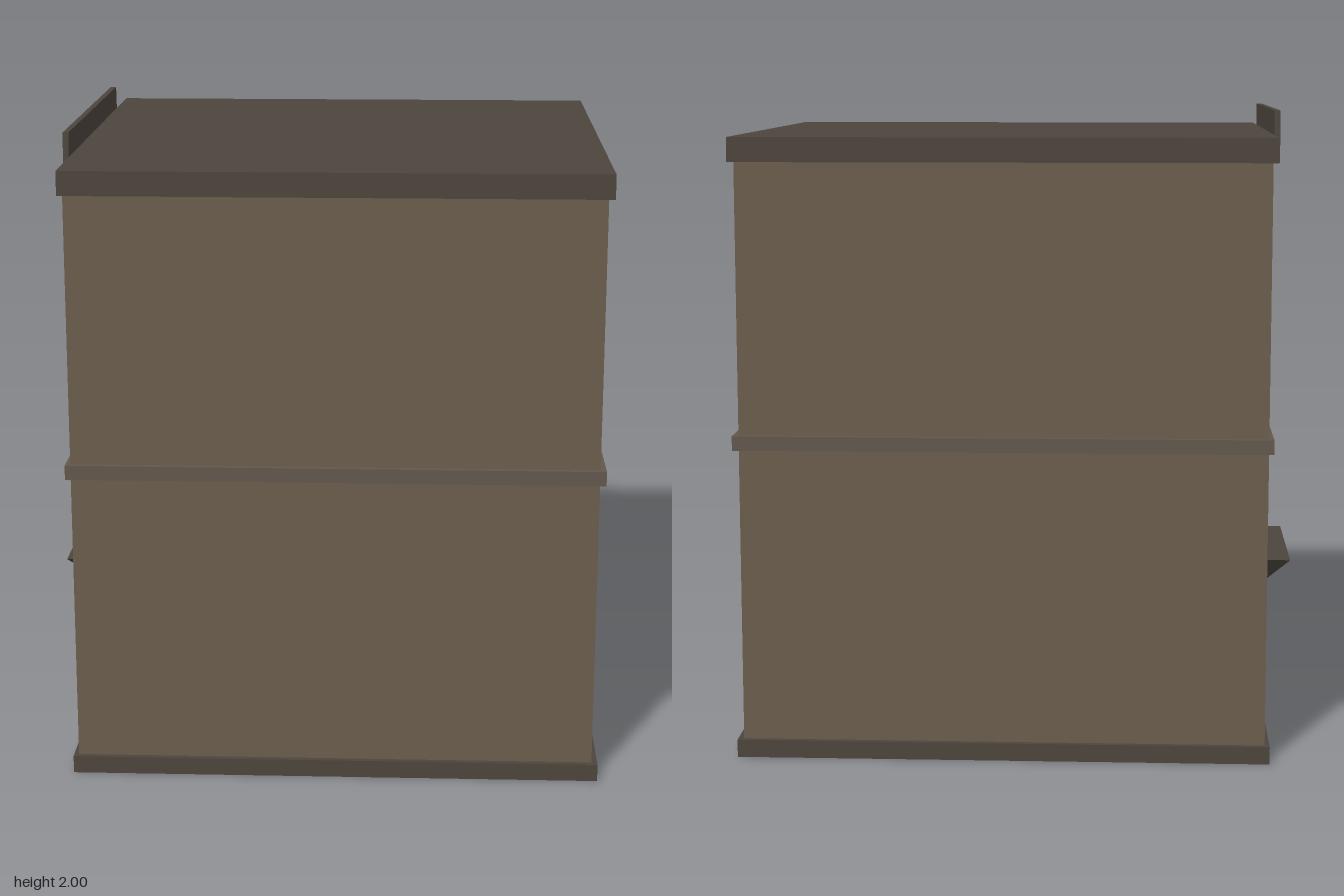
import * as THREE from 'three';

const mat = (color) => new THREE.MeshStandardMaterial({ color, flatShading: true });

export function createModel() {
  const group = new THREE.Group();
  const wall = mat(0x6b5e4d), trim = mat(0x4d453d), band = mat(0x62574d);
  const glass = mat(0x242424), doorMat = mat(0x232626), knobMat = mat(0x111111);

  const add = (name, geometry, material) => {
    const mesh = new THREE.Mesh(geometry, material);
    mesh.name = name;
    group.add(mesh);
    return mesh;
  };
  // Box given by its limits on each axis
  const box = (name, x0, x1, y0, y1, z0, z1, material) => {
    const g = new THREE.BoxGeometry(x1 - x0, y1 - y0, z1 - z0);
    g.translate((x0 + x1) / 2, (y0 + y1) / 2, (z0 + z1) / 2);
    return add(name, g, material);
  };
  // Outline in (z, y), extruded outwards towards -x from the plane x = x0
  const facadePart = (name, shape, x0, depth, material) => {
    const g = new THREE.ExtrudeGeometry(shape, { depth, bevelEnabled: false });
    g.rotateY(-Math.PI / 2);
    g.translate(x0, 0, 0);
    return add(name, g, material);
  };
  const outline = (pts) => new THREE.Shape(pts.map(([a, b]) => new THREE.Vector2(a, b)));

  const back = -0.75, face = -0.77, lip = -0.785, W = 0.81, T = 0.828;
  const doorHalf = 0.165, doorTop = 0.43;

  // Main block behind the street wall
  box('building', back, 0.852, 0.03, 1.88, -W, W, wall);

  // Street wall with window and door openings
  const windows = [
    [-0.65, -0.165, 1.19, 1.68], [0.165, 0.65, 1.19, 1.68],
    [-0.65, -0.33, 0.595, 0.88], [-0.16, 0.16, 0.595, 0.88], [0.33, 0.65, 0.595, 0.88],
  ];
  const street = outline([
    [-W, 0.01], [-doorHalf, 0.01], [-doorHalf, doorTop], [doorHalf, doorTop],
    [doorHalf, 0.01], [W, 0.01], [W, 1.88], [-W, 1.88],
  ]);
  for (const [z0, z1, y0, y1] of windows) {
    street.holes.push(new THREE.Path(
      [[z0, y0], [z0, y1], [z1, y1], [z1, y0]].map(([a, b]) => new THREE.Vector2(a, b))));
    box('windowPane', back - 0.003, back + 0.01, y0, y1, z0, z1, glass);
  }
  facadePart('streetWall', street, back, back - face, wall);

  // Plinth, interrupted at the door
  box('plinth', back, 0.87, 0, 0.055, -T, T, trim);
  for (const s of [-1, 1]) {
    box('plinthStreetSide', lip, back, 0, 0.055,
      Math.min(s * doorHalf, s * T), Math.max(s * doorHalf, s * T), trim);
  }

  // Floor band, cornice and flat roof
  box('floorBand', lip, 0.87, 0.97, 1.015, -T, T, band);
  box('cornice', lip, 0.87, 1.85, 1.905, -T, T, trim);
  box('roof', lip, 0.87, 1.905, 1.925, -T, T, trim);

  // Door with frame and knob
  box('door', back - 0.004, back + 0.01, 0, doorTop, -0.14, 0.14, doorMat);
  for (const s of [-1, 1]) {
    box('doorPost', lip, back + 0.01, 0, doorTop, s * 0.152 - 0.013, s * 0.152 + 0.013, trim);
  }
  const knob = add('doorKnob', new THREE.SphereGeometry(0.01, 10, 8), knobMat);
  knob.position.set(back - 0.012, 0.21, -0.1);

  // Awning: a block whose lower edge is drawn in on three sides
  const awning = new THREE.BoxGeometry(1, 1, 1);
  const p = awning.attributes.position;
  for (let i = 0; i < p.count; i++) {
    const top = p.getY(i) > 0;
    p.setXYZ(i,
      p.getX(i) > 0 ? face + 0.005 : top ? -0.875 : -0.787,
      top ? 0.525 : 0.425,
      Math.sign(p.getZ(i)) * (top ? 0.28 : 0.175));
  }
  awning.computeVertexNormals();
  add('awning', awning, trim);

  // Sign board with slanted ends, fixed to the cornice
  facadePart('signBoard',
    outline([[-0.573, 1.84], [0.573, 1.84], [0.557, 2], [-0.557, 2]]), lip, 0.018, trim);

  return group;
}
